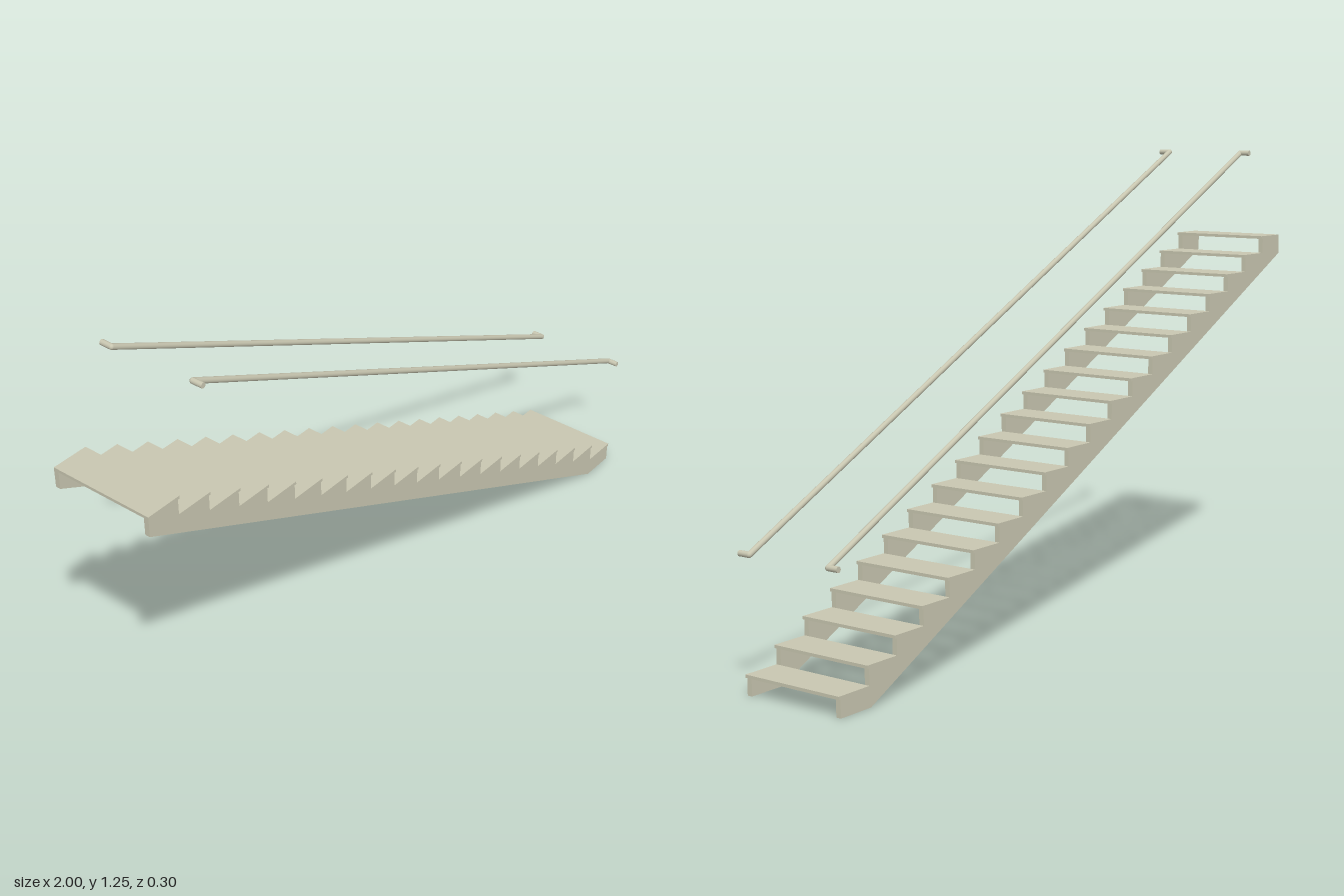
import * as THREE from 'three';

const STEPS = 20, RUN = 0.0989, RISE = 0.0496;
const HALF_WIDTH = 0.148, BOARD = 0.014, TREAD = 0.008;
const FIRST_NOSE = 0.98, FIRST_TOP = 0.053, OVERHANG = 0.006;

export function createModel() {
  const stair = new THREE.Group();
  stair.name = 'staircase';
  const material = new THREE.MeshStandardMaterial({ color: 0xc8c6b0 });

  const add = (parent, geometry, name) => {
    const mesh = new THREE.Mesh(geometry, material);
    mesh.name = name;
    parent.add(mesh);
    return mesh;
  };

  // Treads with a small nosing, open between them
  const depth = RUN + OVERHANG;
  for (let i = 0; i < STEPS; i++) {
    const front = FIRST_NOSE - i * RUN;
    const back = i === STEPS - 1 ? -1 : front - depth;
    const tread = add(stair, new THREE.BoxGeometry(front - back, TREAD, HALF_WIDTH * 2), 'tread' + (i + 1));
    tread.position.set((front + back) / 2, FIRST_TOP + i * RISE - TREAD / 2, 0);
  }

  // Sawtooth stringers under both ends of the treads
  const outline = new THREE.Shape();
  outline.moveTo(0.87, 0);
  outline.lineTo(FIRST_NOSE - OVERHANG, 0);
  for (let i = 0; i < STEPS; i++) {
    const x = FIRST_NOSE - OVERHANG - i * RUN;
    const y = FIRST_TOP + i * RISE - TREAD;
    outline.lineTo(x, y);
    outline.lineTo(i === STEPS - 1 ? -1 : x - RUN, y);
  }
  outline.lineTo(-1, 0.94);
  outline.closePath();
  const board = new THREE.ExtrudeGeometry(outline, { depth: BOARD, bevelEnabled: false });
  add(stair, board, 'leftStringer').position.z = HALF_WIDTH - BOARD;
  add(stair, board, 'rightStringer').position.z = -HALF_WIDTH;

  // Round handrails, each end returning outwards
  const radius = 0.0075;
  const rod = (parent, a, b, name) => {
    const dir = b.clone().sub(a);
    const mesh = add(parent, new THREE.CylinderGeometry(radius, radius, dir.length(), 16), name);
    mesh.position.copy(a).add(b).multiplyScalar(0.5);
    mesh.quaternion.setFromUnitVectors(new THREE.Vector3(0, 1, 0), dir.normalize());
  };
  for (const [side, shift, name] of [[1, 0, 'leftHandrail'], [-1, -0.014, 'rightHandrail']]) {
    const rail = new THREE.Group();
    rail.name = name;
    const ends = [[-0.803, 1.242], [0.989, 0.348]].map(([x, y]) => new THREE.Vector3(x + shift, y, side * 0.118));
    rod(rail, ends[0], ends[1], 'rail');
    for (const end of ends) {
      add(rail, new THREE.SphereGeometry(radius, 16, 10), 'elbow').position.copy(end);
      rod(rail, end, new THREE.Vector3(end.x, end.y, side * 0.149), 'returnEnd');
    }
    stair.add(rail);
  }
  return stair;
}
